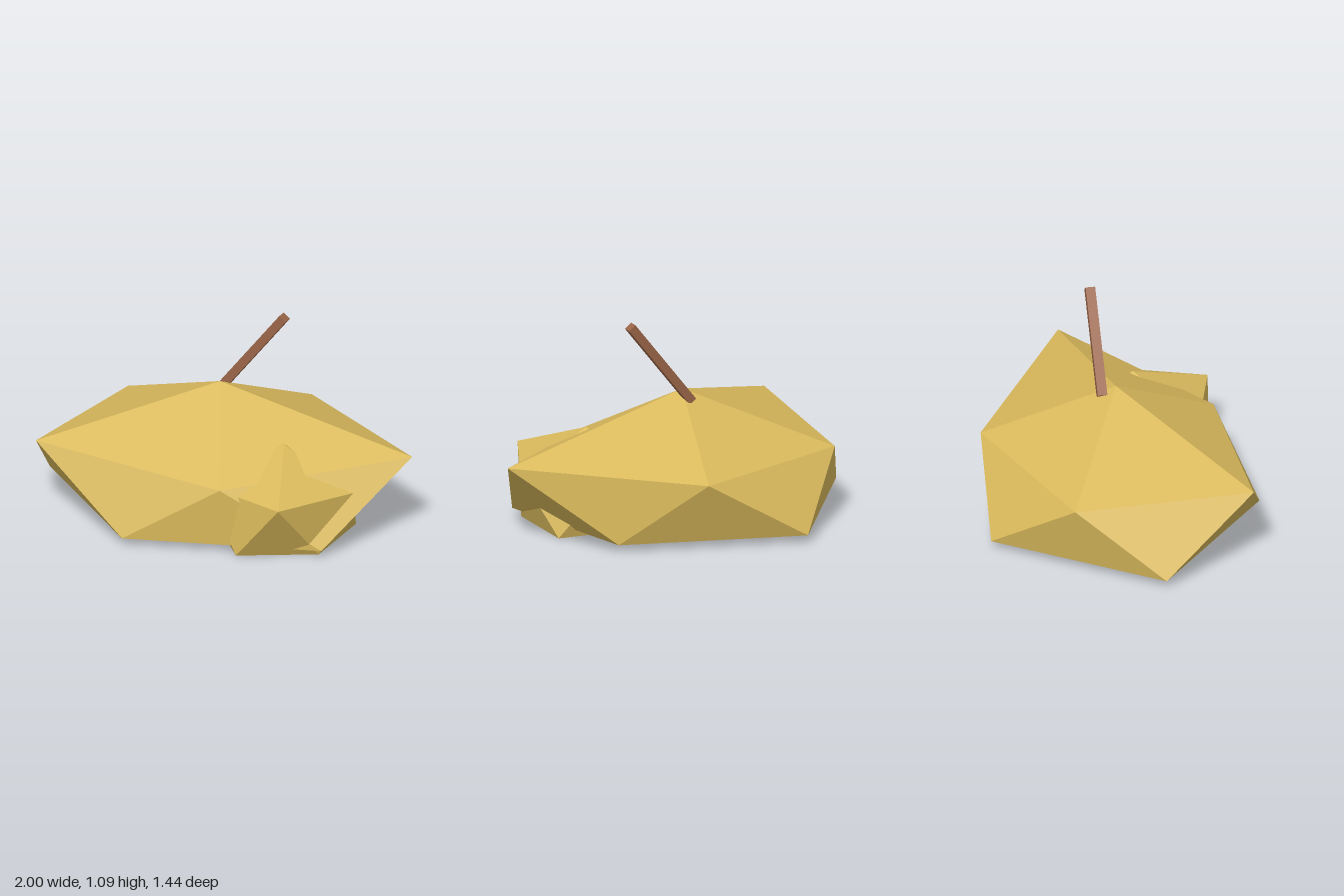
import * as THREE from 'three';

// Faceted lump: an apex, an upper ring and a staggered flat base ring
function lumpGeometry(apex, upper, base, baseY) {
  const pos = [];
  const face = (...pts) => pts.forEach((p) => pos.push(...p));
  const low = base.map(([x, z]) => [x, baseY, z]);
  const n = upper.length;
  for (let i = 0; i < n; i++) {
    const j = (i + 1) % n;
    face(apex, upper[i], upper[j]);
    face(upper[i], low[i], upper[j]);
    face(upper[j], low[i], low[j]);
    if (i > 0 && j > 0) face(low[0], low[j], low[i]);
  }
  const g = new THREE.BufferGeometry();
  g.setAttribute('position', new THREE.Float32BufferAttribute(pos, 3));
  g.computeVertexNormals();
  return g;
}

export function createModel() {
  const group = new THREE.Group();
  const straw = new THREE.MeshStandardMaterial({ color: 0xd9b95c, flatShading: true });
  straw.name = 'straw';
  const wood = new THREE.MeshStandardMaterial({ color: 0x9a6548, flatShading: true });
  wood.name = 'wood';

  const add = (name, geometry, material) => {
    const mesh = new THREE.Mesh(geometry, material);
    mesh.name = name;
    group.add(mesh);
    return mesh;
  };

  // Large hay mound
  add('hayMound', lumpGeometry(
    [-0.06, 0.68, 0.03],
    [[1, 0.43, 0.03], [0.19, 0.37, -0.62], [-0.73, 0.365, -0.38], [-0.88, 0.42, 0.53], [0.17, 0.35, 0.62]],
    [[0.56, -0.34], [-0.35, -0.72], [-1, 0.03], [-0.33, 0.72], [0.68, 0.49]],
    0.04), straw);

  // Small clump poking out of the front
  add('hayClump', lumpGeometry(
    [0.38, 0.49, 0.25],
    [[0.77, 0.29, 0.27], [0.5, 0.29, -0.1], [0.1, 0.3, 0], [0.04, 0.31, 0.5], [0.52, 0.32, 0.69]],
    [[0.69, 0.03], [0.29, -0.05], [0.04, 0.31], [0.26, 0.62], [0.65, 0.45]],
    0), straw);

  // Leaning handle stuck in the top
  const from = new THREE.Vector3(-0.067, 0.635, -0.045);
  const to = new THREE.Vector3(0.28, 1.08, -0.01);
  const along = to.clone().sub(from);
  const handle = add('handle', new THREE.BoxGeometry(along.length(), 0.045, 0.05), wood);
  along.normalize();
  const side = new THREE.Vector3().crossVectors(along, new THREE.Vector3(0, 1, 0)).normalize();
  const up = new THREE.Vector3().crossVectors(side, along);
  handle.quaternion.setFromRotationMatrix(new THREE.Matrix4().makeBasis(along, up, side));
  handle.position.copy(from).add(to).multiplyScalar(0.5);

  return group;
}
